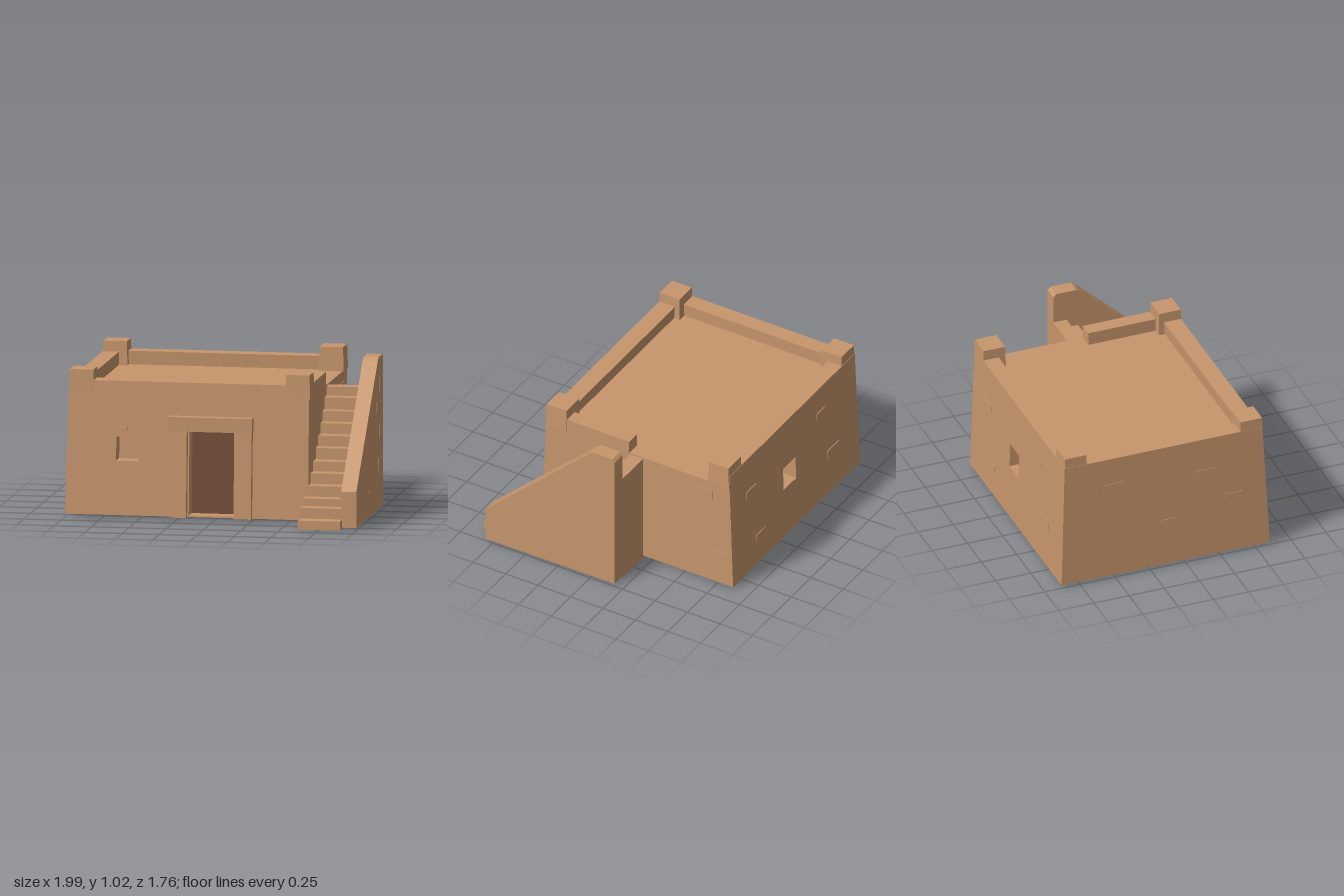
import * as THREE from 'three';

const BASE = 0.02, ROOF = 0.82, TOP = 0.91;

export function createModel() {
  const model = new THREE.Group();
  const clay = new THREE.MeshStandardMaterial({ color: 0xc8966c });
  clay.name = 'clay';
  const darkWood = new THREE.MeshStandardMaterial({ color: 0x714d36 });
  darkWood.name = 'dark wood';
  clay.flatShading = true;

  const add = (name, geometry, material = clay, parent = model) => {
    const mesh = new THREE.Mesh(geometry, material);
    mesh.name = name;
    parent.add(mesh);
    return mesh;
  };
  const group = (name) => {
    const g = new THREE.Group();
    g.name = name;
    model.add(g);
    return g;
  };
  // Box given by its lower and upper limits on each axis
  const block = (x0, x1, y0, y1, z0, z1) =>
    new THREE.BoxGeometry(x1 - x0, y1 - y0, z1 - z0)
      .translate((x0 + x1) / 2, (y0 + y1) / 2, (z0 + z1) / 2);
  // Lean the house walls inward with height
  const batter = (geometry) => {
    const p = geometry.attributes.position;
    for (let i = 0; i < p.count; i++) {
      const t = (p.getY(i) - BASE) / (TOP - BASE);
      const x = p.getX(i), z = p.getZ(i);
      p.setX(i, x < -0.5 ? x + 0.02 * t : x);
      p.setZ(i, z > 0 ? z - 0.045 * t : z + 0.03 * t);
    }
    geometry.computeVertexNormals();
    return geometry;
  };
  const rectangle = (target, x0, x1, y0, y1) => {
    target.moveTo(x0, y0);
    target.lineTo(x1, y0);
    target.lineTo(x1, y1);
    target.lineTo(x0, y1);
    target.closePath();
    return target;
  };
  // Wall with rectangular openings, reaching up to form its parapet
  const wall = (z0, z1, openings) => {
    const shape = rectangle(new THREE.Shape(), -1, 0.63, BASE, TOP);
    openings.forEach((o) => shape.holes.push(rectangle(new THREE.Path(), ...o)));
    const g = new THREE.ExtrudeGeometry(shape, { depth: z1 - z0, bevelEnabled: false });
    return batter(g.translate(0, 0, z0));
  };

  // House
  add('houseCore', batter(block(-1, 0.63, BASE, ROOF, -0.77, 0.48)));
  add('frontWall', wall(0.48, 0.6, [[-0.67, -0.52, 0.38, 0.54], [-0.17, 0.13, 0.03, 0.585]]));
  add('backWall', wall(-0.88, -0.77, [[-0.2, -0.04, 0.39, 0.56]]));
  add('leftParapet', batter(block(-1, -0.89, ROOF, TOP, -0.77, 0.48)));
  add('stairParapet', block(0.53, 0.63, ROOF, TOP, -0.08, 0.44));

  // Corner posts, narrowing slightly at the top
  const posts = group('cornerPosts');
  for (const x of [-0.897, 0.553]) {
    for (const z of [0.478, -0.77]) {
      const g = new THREE.BoxGeometry(0.168, 0.16, 0.162);
      const p = g.attributes.position;
      for (let i = 0; i < p.count; i++) {
        if (p.getY(i) > 0) {
          p.setX(i, p.getX(i) * 0.94);
          p.setZ(i, p.getZ(i) * 0.94);
        }
      }
      g.computeVertexNormals();
      add('cornerPost', g, clay, posts).position.set(x, 0.9, z);
    }
  }

  // Doorway
  add('door', batter(block(-0.17, 0.13, 0.03, 0.585, 0.478, 0.487)), darkWood);
  const frame = group('doorFrame');
  add('jamb', batter(block(-0.29, -0.18, BASE, 0.6, 0.55, 0.645)), clay, frame);
  add('jamb', batter(block(0.14, 0.255, BASE, 0.6, 0.55, 0.645)), clay, frame);
  add('lintel', block(-0.3, 0.26, 0.595, 0.69, 0.53, 0.632), clay, frame);

  // Stairs: one solid profile from front edges and tread heights
  const fronts = [0.88, 0.78, 0.69, 0.6, 0.5, 0.41, 0.31, 0.23, 0.14, 0.06, -0.01, -0.09];
  const heights = [0.06, 0.13, 0.18, 0.25, 0.32, 0.385, 0.46, 0.53, 0.6, 0.67, 0.75, 0.81];
  const stairProfile = [[-0.185, 0], [0.88, 0]];
  fronts.forEach((z, i) => {
    stairProfile.push([z, heights[i]], [i < 11 ? fronts[i + 1] : -0.185, heights[i]]);
  });
  // Side profile of (z, y) points, extruded between two x positions
  const sideProfile = (points, x0, x1) => {
    const shape = new THREE.Shape(points.map(([z, y]) => new THREE.Vector2(-z, y)));
    return new THREE.ExtrudeGeometry(shape, { depth: x1 - x0, bevelEnabled: false })
      .rotateY(Math.PI / 2).translate(x0, 0, 0);
  };
  add('stairs', sideProfile(stairProfile, 0.61, 0.895));
  add('stairWall', sideProfile([
    [-0.185, 0.015], [0.81, 0.01], [0.81, 0.25], [0.01, 1.005],
    [-0.02, 1.025], [-0.165, 1.025], [-0.185, 1.005],
  ], 0.89, 0.992));

  // Exposed bricks, barely standing out of the plaster
  const bricks = group('exposedBricks');
  const D = 0.004;
  const sideBricks = [
    [0.99, -0.17, -0.06, 0.48, 0.57], [0.99, -0.17, 0, 0.26, 0.35], [0.99, -0.17, -0.06, 0.79, 0.88],
    [0.99, 0.27, 0.42, 0.04, 0.18], [0.99, -0.08, 0.05, 0.66, 0.73],
    [0.63, -0.85, -0.69, 0.51, 0.61], [0.63, -0.83, -0.69, 0.18, 0.27], [0.63, -0.72, -0.58, 0.68, 0.75],
  ];
  for (const [x, z0, z1, y0, y1] of sideBricks) {
    add('brick', block(x - D, x + D, y0, y1, z0, z1), clay, bricks);
  }
  const wallBricks = [
    [0.6, -0.72, -0.6, 0.57, 0.61], [0.6, -0.8, -0.7, 0.29, 0.33], [0.6, 0.32, 0.42, 0.28, 0.32],
    [0.6, 0.38, 0.5, 0.7, 0.76], [-0.88, 0.3, 0.43, 0.6, 0.66], [-0.88, -0.75, -0.6, 0.3, 0.36],
    [-0.88, -0.6, -0.48, 0.68, 0.73], [-0.88, 0.2, 0.32, 0.2, 0.25],
  ];
  for (const [z, x0, x1, y0, y1] of wallBricks) {
    add('brick', batter(block(x0, x1, y0, y1, z - D, z + D)), clay, bricks);
  }
  for (const [z, y] of [[-0.6, 0.66], [-0.2, 0.3], [0.1, 0.62], [0.3, 0.4]]) {
    add('brick', batter(block(-1 - D, -1 + D, y, y + 0.06, z, z + 0.14)), clay, bricks);
  }
  return model;
}
